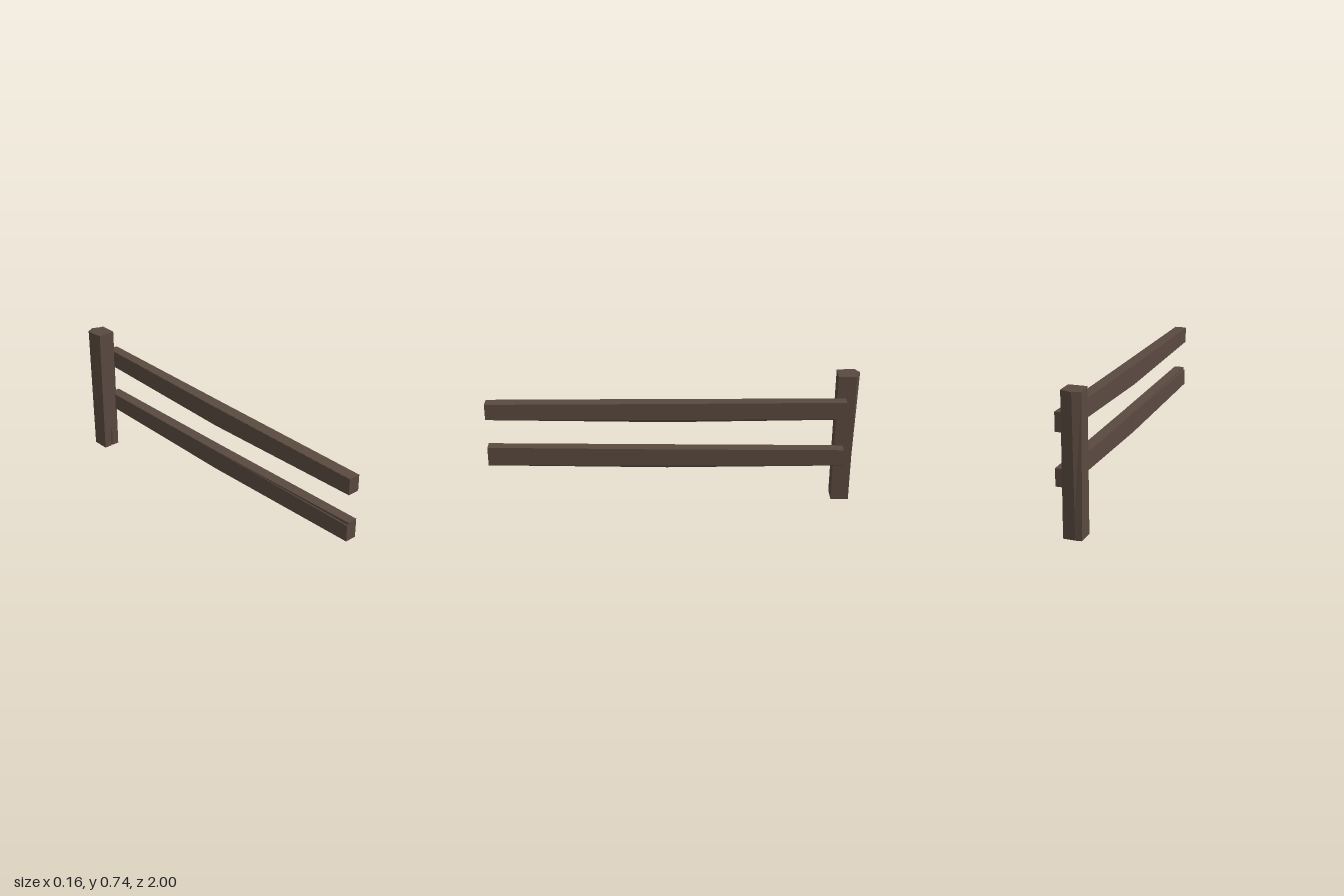
import * as THREE from 'three';

const wood = new THREE.MeshStandardMaterial({ color: 0x5a4a40 });
wood.name = 'dark weathered wood';

// Lofts counterclockwise [x, y] outlines placed at successive z values, with end caps.
function loft(rings, zs) {
  const pos = [];
  const n = rings[0].length;
  const put = (k, i) => pos.push(rings[k][i % n][0], rings[k][i % n][1], zs[k]);
  for (let k = 0; k + 1 < rings.length; k++) {
    for (let i = 0; i < n; i++) {
      put(k, i); put(k, i + 1); put(k + 1, i + 1);
      put(k, i); put(k + 1, i + 1); put(k + 1, i);
    }
  }
  const last = rings.length - 1;
  for (const k of [0, last]) {
    const outline = rings[k].map(([x, y]) => new THREE.Vector2(x, y));
    for (const [a, b, c] of THREE.ShapeUtils.triangulateShape(outline, [])) {
      for (const i of k === last ? [a, b, c] : [a, c, b]) put(k, i);
    }
  }
  const geo = new THREE.BufferGeometry();
  geo.setAttribute('position', new THREE.Float32BufferAttribute(pos, 3));
  geo.computeVertexNormals();
  return geo;
}

// Rail outline with a worn upper edge and a chipped lower edge
function railSection({ l, r, b, t, notch = 0.001, chip = 0.002 }) {
  return [
    [l, b], [r - chip * 0.45, b], [r, b + chip], [r, t],
    [l + notch, t], [l + notch * 0.9, t - notch * 1.8], [l, t - notch * 2],
  ];
}

// Post outline in x and depth: crack in the front, ridge along the back
function postSection(left, ridge, crack) {
  return [
    [-0.073, 0.879], [-0.028, 0.879], [-0.025, 0.879 + crack], [-0.018, 0.879],
    [0.024, 0.879], [0.024, 0.976], [-0.005, 0.977 + (ridge - 0.98) * 0.3],
    [-0.04, ridge], [left, 0.976], [left, 0.93],
  ];
}

export function createModel() {
  const model = new THREE.Group();
  model.name = 'fenceSection';
  const add = (name, geo) => {
    const mesh = new THREE.Mesh(geo, wood);
    mesh.name = name;
    model.add(mesh);
  };

  // Upright post, leaning out slightly at the back
  const post = loft(
    [postSection(-0.073, 0.98, 0.012), postSection(-0.0745, 0.984, 0.0005), postSection(-0.081, 1, 0.0005)],
    [0, 0.13, 0.74],
  );
  post.rotateX(-Math.PI / 2);
  add('post', post);

  // Sagging rails, from the post end to the free end
  const stations = [-0.925, 0.03, 1];
  add('upperRail', loft([
    { l: 0.022, r: 0.078, b: 0.515, t: 0.614 },
    { l: 0.012, r: 0.078, b: 0.497, t: 0.607, chip: 0.016 },
    { l: 0.012, r: 0.078, b: 0.512, t: 0.602 },
  ].map(railSection), stations));
  add('lowerRail', loft([
    { l: 0.017, r: 0.08, b: 0.24, t: 0.333 },
    { l: 0.016, r: 0.08, b: 0.226, t: 0.338, chip: 0.014 },
    { l: 0.016, r: 0.08, b: 0.241, t: 0.348, notch: 0.008 },
  ].map(railSection), stations));

  return model;
}
